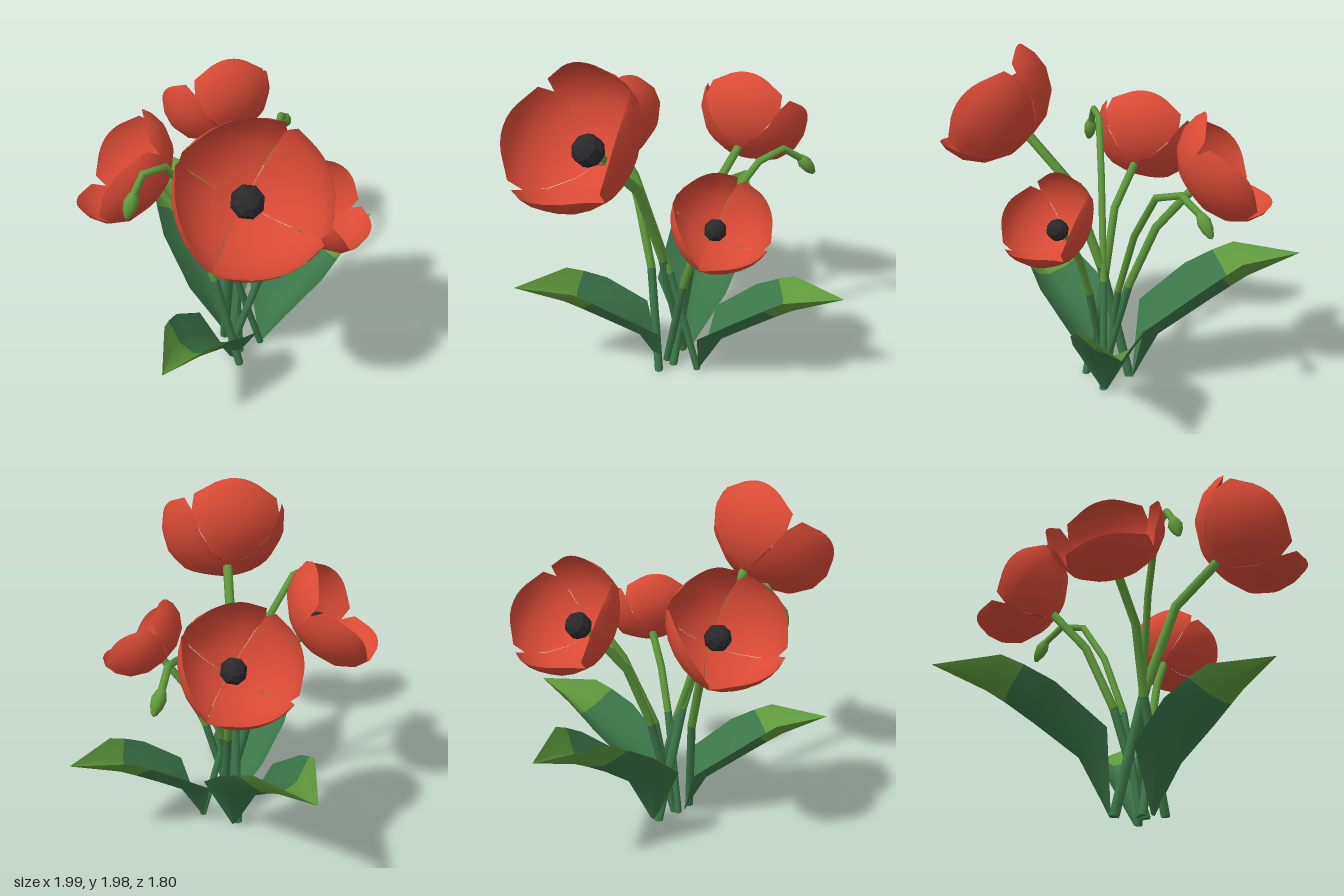
import * as THREE from 'three';

const V = (a) => new THREE.Vector3(...a);
const mat = (name, color, extra = {}) => Object.assign(new THREE.MeshStandardMaterial({ color, ...extra }), { name });

// Grid surface: point(row, s) with s running from -1 to 1 across
function sheet(rows, cols, point) {
  const pos = [], index = [];
  for (let i = 0; i < rows; i++) {
    for (let j = 0; j <= cols; j++) pos.push(...point(i, (j / cols) * 2 - 1).toArray());
  }
  for (let i = 0; i < rows - 1; i++) {
    for (let j = 0; j < cols; j++) {
      const a = i * (cols + 1) + j, b = a + cols + 1;
      index.push(a, a + 1, b, b, a + 1, b + 1);
    }
  }
  const g = new THREE.BufferGeometry();
  g.setAttribute('position', new THREE.Float32BufferAttribute(pos, 3));
  g.setIndex(index);
  g.computeVertexNormals();
  return g;
}

// Petal rows: radius, height, half angle in degrees
const PETAL = [[0.02, -0.01, 45], [0.16, 0.01, 45], [0.285, 0.085, 45], [0.355, 0.19, 46], [0.372, 0.29, 40], [0.362, 0.37, 20]];
// Leaf rows: distance outwards, height, half width, lift of the edges
const LEAF = [[0, 0, 0.015, 0], [0.17, 0.32, 0.22, 0.15], [0.42, 0.51, 0.25, 0.16], [0.57, 0.61, 0.215, 0.155], [0.67, 0.67, 0.18, 0.15], [0.96, 0.8, 0.002, 0]];
const DARK_ROWS = 3;

export function createModel() {
  const root = new THREE.Group();
  root.name = 'flowerBunch';
  const red = mat('petalRed', 0xd94a35, { side: THREE.DoubleSide });
  const black = mat('centreBlack', 0x2a2a2c, { flatShading: true });
  const lightGreen = mat('lightGreen', 0x5f9a3c, { side: THREE.DoubleSide });
  const darkGreen = mat('darkGreen', 0x3b774a, { side: THREE.DoubleSide });

  const add = (parent, name, geometry, material) => {
    const m = new THREE.Mesh(geometry, material);
    m.name = name;
    parent.add(m);
    return m;
  };

  // Stem: one ring per point, dark up to the second point, closed foot
  function stem(name, points, radius) {
    const path = new THREE.CatmullRomCurve3(points.map(V));
    path.getPointAt = path.getPoint;
    path.getTangentAt = path.getTangent;
    const sides = 7, segs = points.length - 1;
    const g = new THREE.TubeGeometry(path, segs, radius, sides);
    g.addGroup(0, sides * 6, 0);
    g.addGroup(sides * 6, Infinity, 1);
    add(root, name, g, [darkGreen, lightGreen]);
    const foot = add(root, name + 'Foot', new THREE.CircleGeometry(radius, sides), darkGreen);
    foot.position.copy(V(points[0]));
    foot.rotation.x = Math.PI / 2;
  }

  // Flower: four cupped petals around a dark centre
  const petalGeometry = sheet(PETAL.length, 6, (i, s) => {
    const [r, h, deg] = PETAL[i];
    const a = s * THREE.MathUtils.degToRad(deg);
    const dip = i === PETAL.length - 1 ? 0.025 * s * s : 0;
    return new THREE.Vector3(r * (1 - 0.85 * (1 - Math.cos(a))), h - dip, r * 1.05 * Math.sin(a));
  });

  function flower(name, centre, axis, up, scale) {
    const group = new THREE.Group();
    group.name = name;
    const y = V(axis).normalize();
    const z = new THREE.Vector3().crossVectors(V(up), y).normalize();
    const x = new THREE.Vector3().crossVectors(y, z);
    group.quaternion.setFromRotationMatrix(new THREE.Matrix4().makeBasis(x, y, z));
    group.scale.setScalar(scale);
    group.position.copy(V(centre)).addScaledVector(y, -0.12 * scale);
    for (let k = 0; k < 4; k++) add(group, 'petal', petalGeometry, red).rotation.y = (k * Math.PI) / 2;
    add(group, 'flowerCentre', new THREE.SphereGeometry(0.087, 8, 6), black).position.y = 0.12;
    root.add(group);
  }

  flower('tallFlower', [0.57, 1.54, 0.4], [0.68, 0.634, 0.366], [-0.4, 0.48, -0.09], 1);
  flower('frontFlower', [-0.2, 1.3, 0.48], [-0.49, 0.62, 0.615], [0.13, 0.5, -0.4], 0.85);
  flower('leftFlower', [-0.395, 1.315, -0.24], [-0.76, 0.605, -0.227], [0.37, 0.49, 0.06], 0.85);
  flower('smallFlower', [0.43, 1.09, -0.22], [0.6, 0.69, -0.4], [-0.27, 0.38, 0.25], 0.7);

  stem('tallStem', [[-0.03, 0, 0.06], [0.12, 0.7, 0.14], [0.28, 1.2, 0.23], [0.49, 1.46, 0.356]], 0.029);
  stem('frontStem', [[0.22, 0, 0.15], [0.08, 0.62, 0.22], [0, 1.0, 0.31], [-0.15, 1.235, 0.42]], 0.025);
  stem('leftStem', [[0.14, 0, 0.08], [-0.01, 0.62, 0], [-0.15, 1.0, -0.08], [-0.315, 1.255, -0.215]], 0.025);
  stem('smallStem', [[0.1, 0, 0.13], [0.22, 0.6, 0], [0.29, 0.85, -0.08], [0.38, 1.03, -0.185]], 0.023);

  // Drooping buds, each hanging from the end of its stem
  function bud(name, points, centre) {
    stem(name + 'Stem', points, 0.021);
    const end = V(points[points.length - 1]);
    const profile = [[0, -0.075], [0.025, -0.06], [0.04, -0.015], [0.033, 0.03], [0.015, 0.07], [0, 0.08]];
    const g = new THREE.LatheGeometry(profile.map((p) => new THREE.Vector2(...p)), 8);
    const m = add(root, name, g, lightGreen);
    m.position.copy(V(centre));
    m.quaternion.setFromUnitVectors(new THREE.Vector3(0, 1, 0), V(centre).sub(end).normalize());
  }
  bud('frontBud', [[0.16, 0, -0.07], [0.115, 0.62, 0.1], [0.08, 1.2, 0.3], [0.05, 1.51, 0.5], [0.053, 1.53, 0.64], [0.058, 1.43, 0.71]], [0.06, 1.385, 0.73]);
  bud('backBud', [[0.1, 0, 0.1], [0.05, 0.6, 0], [0, 1.0, -0.18], [-0.07, 1.28, -0.37], [-0.17, 1.325, -0.49], [-0.25, 1.24, -0.585]], [-0.265, 1.2, -0.615]);

  // Leaf: deeply channelled blade arching outwards, light at the tip
  function leaf(name, base, tip, reach, height) {
    const b = V(base);
    const out = new THREE.Vector3(tip[0] - base[0], 0, tip[1] - base[2]).normalize();
    const side = new THREE.Vector3(-out.z, 0, out.x);
    const cols = 4;
    const g = sheet(LEAF.length, cols, (i, s) => {
      const [d, y, w, lift] = LEAF[i];
      const p = LEAF[Math.max(i - 1, 0)], n = LEAF[Math.min(i + 1, LEAF.length - 1)];
      const len = Math.hypot(n[0] - p[0], n[1] - p[1]);
      const l = lift * s * s;
      return b.clone()
        .addScaledVector(out, reach * (d - (l * (n[1] - p[1])) / len))
        .addScaledVector(side, reach * w * s)
        .add(new THREE.Vector3(0, height * (y + (l * (n[0] - p[0])) / len), 0));
    });
    const split = DARK_ROWS * cols * 6;
    g.addGroup(0, split, 0);
    g.addGroup(split, Infinity, 1);
    add(root, name, g, [darkGreen, lightGreen]);
  }
  leaf('leftLeaf', [-0.04, 0, 0.03], [-1, -0.16], 1.02, 1);
  leaf('backLeaf', [0.15, 0, -0.08], [0.24, -0.9], 0.86, 0.8);
  leaf('frontLeaf', [0.15, 0, 0.15], [0.5, 0.9], 0.86, 0.8);

  return root;
}
